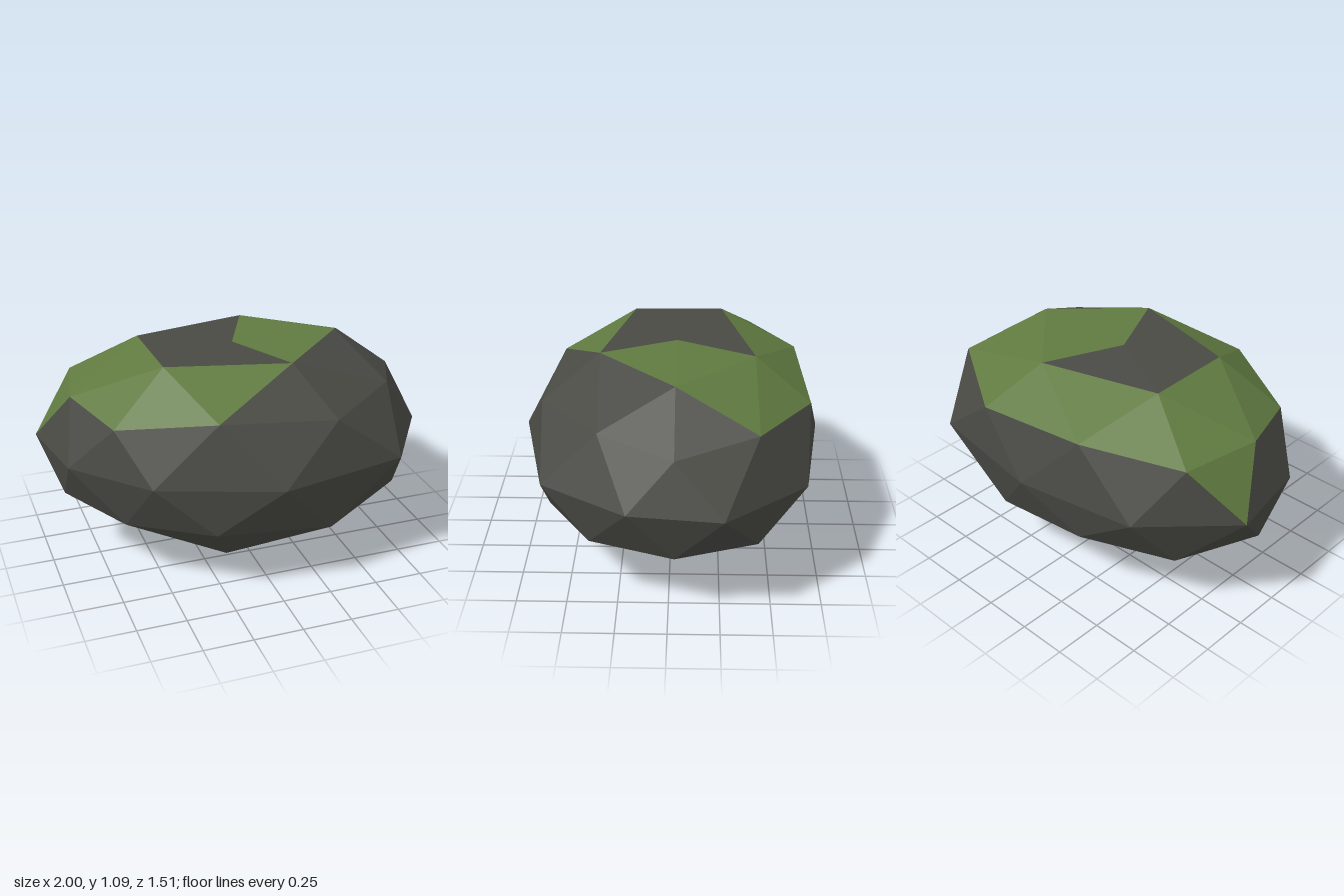
import * as THREE from 'three';

const stone = new THREE.MeshStandardMaterial({ color: 0x4a4a45 });
stone.name = 'dark stone';
const moss = new THREE.MeshStandardMaterial({ color: 0x607a40 });
moss.name = 'moss green';

// Horizontal cross-sections, counter-clockwise seen from above: [x, y, z]
const top = [0, 1.085, -0.03];
const crown = [
  [0.57, 1.085, -0.03], [0.18, 1.075, -0.42], [-0.44, 1.09, -0.26], [-0.43, 1.09, 0.2], [0.18, 1.087, 0.35],
];
const shoulder = [
  [0.88, 0.86, -0.03], [0.76, 0.93, -0.42], [0.31, 0.885, -0.69], [-0.3, 0.93, -0.65], [-0.77, 0.89, -0.43],
  [-0.85, 0.9, -0.03], [-0.72, 0.86, 0.34], [-0.27, 0.92, 0.57], [0.31, 0.885, 0.63], [0.71, 0.91, 0.33],
];
const waist = [
  [1, -0.26], [0.66, -0.66], [0, -0.755], [-0.62, -0.64], [-1, -0.26],
  [-0.92, 0.18], [-0.59, 0.54], [0, 0.755], [0.67, 0.61], [0.95, 0.19],
].map(([x, z]) => [x, 0.615, z]);
const belly = [
  [0.87, 0.335, -0.03], [0.76, 0.355, -0.43], [0.27, 0.3, -0.64], [-0.28, 0.37, -0.64], [-0.7, 0.32, -0.41],
  [-0.91, 0.37, -0.03], [-0.68, 0.335, 0.33], [-0.3, 0.355, 0.62], [0.3, 0.295, 0.62], [0.75, 0.355, 0.38],
];
const base = [
  [0.44, 0.13, -0.26], [-0.16, 0.14, -0.4], [-0.55, 0.13, -0.03], [-0.17, 0.09, 0.37], [0.46, 0.12, 0.21],
];
const bottom = [0, 0, -0.03];

const at = (ring, i) => ring[i % ring.length];

function facetMesh(name, triangles, material) {
  const geometry = new THREE.BufferGeometry();
  geometry.setAttribute('position', new THREE.Float32BufferAttribute(triangles.flat(2), 3));
  geometry.computeVertexNormals(); // unshared corners give flat facets
  const mesh = new THREE.Mesh(geometry, material);
  mesh.name = name;
  return mesh;
}

export function createModel() {
  const rock = [];
  const mossy = [];
  const add = (green, ...corners) => (green ? mossy : rock).push(corners);

  // Flattened cap and the sloping band around it
  for (let i = 0; i < 5; i++) {
    const a = crown[i], b = at(crown, i + 1);
    const s = [0, 1, 2].map((k) => at(shoulder, 2 * i + k));
    const green = (k) => 3 * i + k >= 1 && 3 * i + k <= 10;
    add(i === 0 || i === 4, top, a, b);
    add(green(0), a, s[0], s[1]);
    add(green(1), a, s[1], b);
    add(green(2), b, s[1], s[2]);
  }

  // Sides above and below the waist; one moss patch hangs down
  for (let j = 0; j < 10; j++) {
    const w = waist[j], next = at(waist, j + 1);
    add(j === 4, shoulder[j], w, at(shoulder, j + 1));
    add(false, w, next, at(shoulder, j + 1));
    add(false, w, belly[j], at(belly, j + 1));
    add(false, w, at(belly, j + 1), next);
  }

  // Underside closing to a point
  for (let i = 0; i < 5; i++) {
    const a = base[i], b = at(base, i + 1);
    const s = [0, 1, 2].map((k) => at(belly, 2 * i + k));
    add(false, s[0], a, s[1]);
    add(false, s[1], a, s[2]);
    add(false, s[2], a, b);
    add(false, a, bottom, b);
  }

  const group = new THREE.Group();
  group.name = 'mossyBoulder';
  group.add(facetMesh('rock', rock, stone), facetMesh('mossPatch', mossy, moss));
  return group;
}
